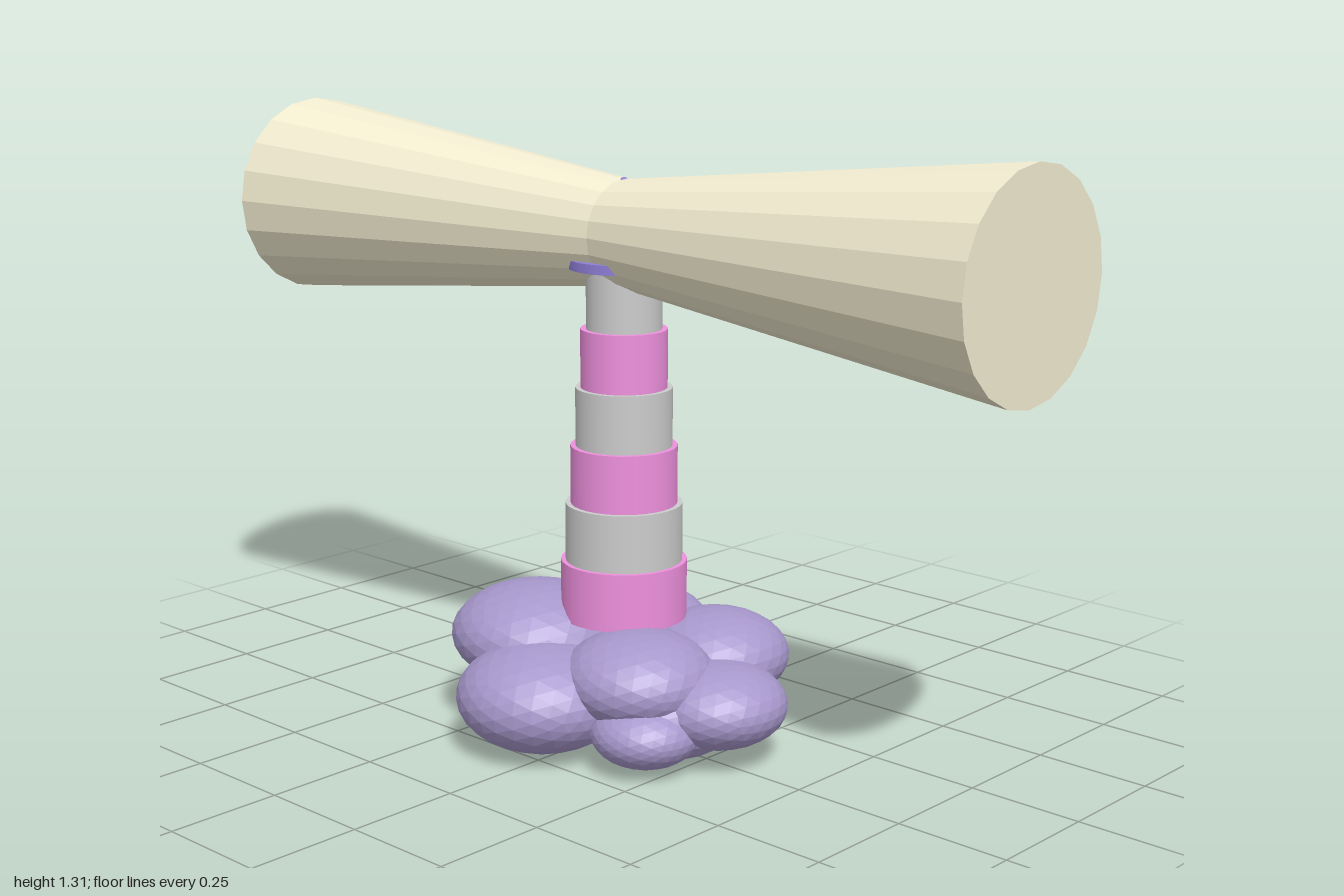
import * as THREE from 'three';

const AXIS_Z = -0.012; // tower axis
const LAMP_Y = 1.09; // height of the light beams

export function createModel() {
  const model = new THREE.Group();
  model.name = 'lighthouse';

  const mat = (color, flatShading = false) => new THREE.MeshStandardMaterial({ color, flatShading });
  const pink = mat(0xee90dd);
  const white = mat(0xeeeeee);
  const purple = mat(0x8f7fd8);
  const rockMat = mat(0xa798cc, true);
  const beamMat = mat(0xf2ecd0, true);

  function add(name, geometry, material, x, y, z) {
    const mesh = new THREE.Mesh(geometry, material);
    mesh.name = name;
    mesh.position.set(x, y, z);
    model.add(mesh);
    return mesh;
  }

  // Rocks: flattened faceted balls [x, y, z, radius, half height]
  const rocks = [
    [-0.045, 0.122, 0.19, 0.185, 0.115],
    [-0.18, 0.205, 0.07, 0.19, 0.11],
    [-0.14, 0.16, -0.235, 0.143, 0.086],
    [0.15, 0.18, -0.14, 0.16, 0.097],
    [0.27, 0.128, -0.01, 0.148, 0.089],
    [0.13, 0.175, 0.08, 0.165, 0.1],
    [0.16, 0.107, 0.03, 0.175, 0.105],
    [0.2, 0.085, 0.135, 0.115, 0.07],
    [0, 0.155, -0.06, 0.19, 0.11],
  ];
  const rockGeo = new THREE.IcosahedronGeometry(1, 4);
  for (const [x, y, z, r, h] of rocks) add('rock', rockGeo, rockMat, x, y, z).scale.set(r, h, r);

  // Tower: stepped bands in alternating colours
  const bandHeight = 0.125;
  const radii = [0.135, 0.125, 0.114, 0.103, 0.092, 0.08];
  radii.forEach((r, i) => {
    const geo = new THREE.CylinderGeometry(r, r, bandHeight, 32);
    add('towerBand', geo, i % 2 ? white : pink, 0, 0.265 + bandHeight * (i + 0.5), AXIS_Z);
  });

  // Gallery, lantern and roof, mostly wrapped by the beams
  add('gallery', new THREE.CylinderGeometry(0.117, 0.117, 0.02, 32), purple, 0, 1.028, AXIS_Z);
  add('lantern', new THREE.CylinderGeometry(0.06, 0.06, 0.08, 24), white, 0, 1.075, AXIS_Z);
  add('roof', new THREE.ConeGeometry(0.075, 0.09, 24), purple, 0, 1.155, AXIS_Z);
  add('roofTip', new THREE.SphereGeometry(0.01, 12, 8), purple, 0, 1.196, AXIS_Z);

  // Light beams: one widening cone to each side
  for (const side of [-1, 1]) {
    const geo = new THREE.CylinderGeometry(0.223, 0.112, 1, 20);
    geo.rotateZ(-side * Math.PI / 2);
    add(side > 0 ? 'leftBeam' : 'rightBeam', geo, beamMat, side * 0.5, LAMP_Y, AXIS_Z);
  }

  return model;
}
